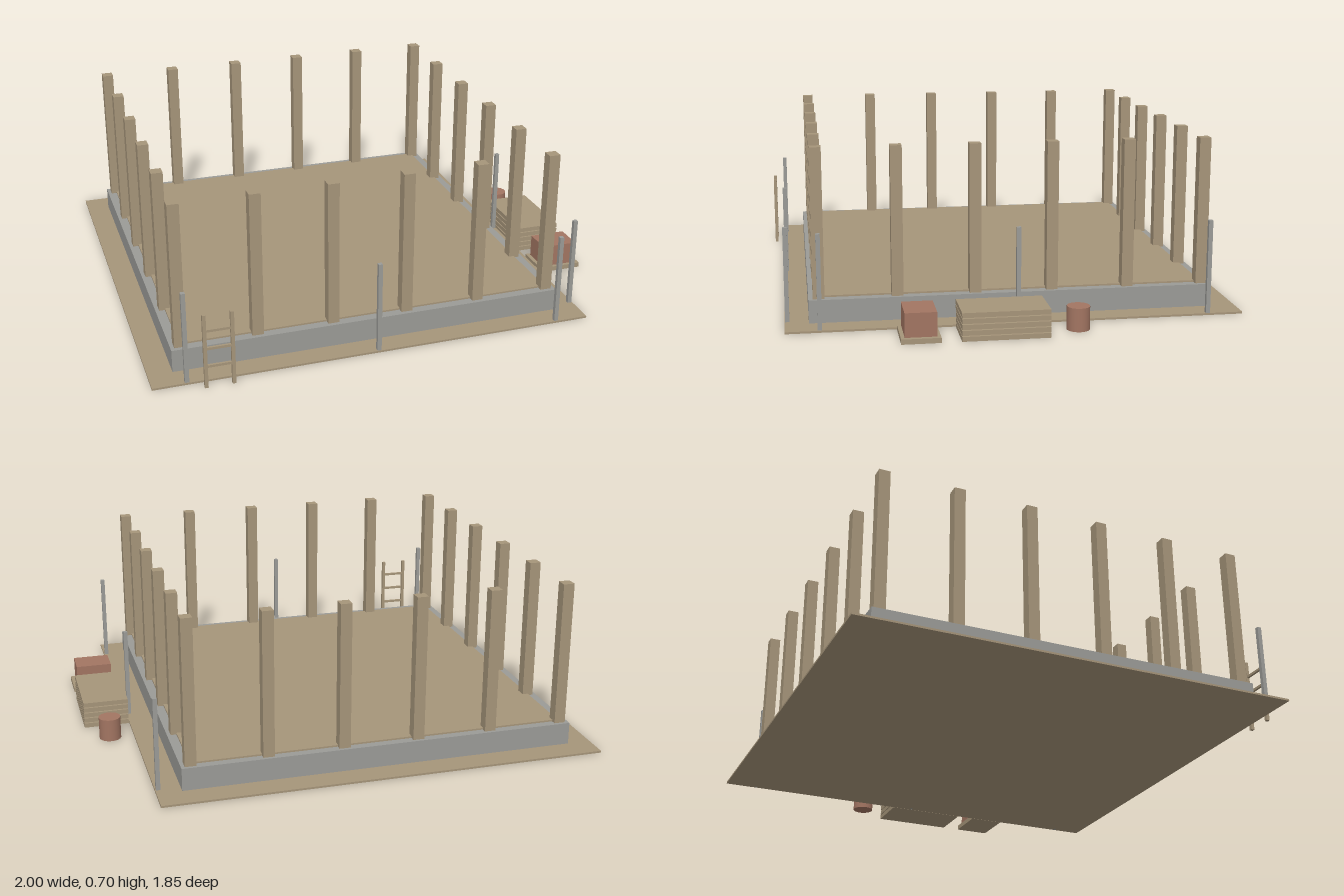
import * as THREE from 'three';

export function createModel() {
  const model = new THREE.Group();
  model.name = 'constructionSite';

  const material = (name, color) => {
    const m = new THREE.MeshStandardMaterial({ color });
    m.name = name;
    return m;
  };
  const timber = material('timber', 0xa6957a);
  const concrete = material('concrete', 0x9b9b97);
  const brick = material('brick', 0xa27562);

  const addGroup = (name) => {
    const g = new THREE.Group();
    g.name = name;
    model.add(g);
    return g;
  };

  // Box given by its minimum and maximum on each axis
  const box = (parent, name, mat, [x0, x1], [y0, y1], [z0, z1]) => {
    const mesh = new THREE.Mesh(new THREE.BoxGeometry(x1 - x0, y1 - y0, z1 - z0), mat);
    mesh.position.set((x0 + x1) / 2, (y0 + y1) / 2, (z0 + z1) / 2);
    mesh.name = name;
    parent.add(mesh);
  };
  // Upright square post centred on x, z
  const post = (parent, name, mat, x, z, size, y0, y1) =>
    box(parent, name, mat, [x - size / 2, x + size / 2], [y0, y1], [z - size / 2, z + size / 2]);

  // Ground plate, foundation and floor
  box(model, 'ground', timber, [-1, 0.81], [0, 0.008], [-0.93, 0.88]);
  box(model, 'foundation', concrete, [-0.903, 0.711], [0.004, 0.1], [-0.828, 0.786]);
  box(model, 'floor', timber, [-0.865, 0.673], [0.09, 0.107], [-0.794, 0.748]);

  // Posts around the rim: six on each side, sharing corners
  const posts = addGroup('wallPosts');
  const pitch = 0.3076;
  for (let i = 0; i < 6; i++) {
    for (let j = 0; j < 6; j++) {
      if (i % 5 && j % 5) continue;
      post(posts, 'wallPost', timber, -0.865 + i * pitch, -0.792 + j * pitch, 0.046, 0.1, 0.697);
    }
  }

  // Scaffold poles along the front and the left side
  const poles = addGroup('scaffoldPoles');
  for (const x of [-0.865, -0.096, 0.673]) post(poles, 'pole', concrete, x, 0.869, 0.017, 0, 0.385);
  for (const z of [-0.789, -0.023, 0.746]) post(poles, 'pole', concrete, 0.798, z, 0.017, 0, 0.385);

  // Ladder
  const ladder = addGroup('ladder');
  for (const x of [-0.8, -0.693]) post(ladder, 'rail', timber, x, 0.917, 0.014, 0, 0.308);
  for (const y of [0.09, 0.165, 0.24]) {
    box(ladder, 'rung', timber, [-0.795, -0.698], [y - 0.005, y + 0.005], [0.912, 0.922]);
  }

  // Stack of boards with narrow gaps
  const boards = addGroup('boardStack');
  for (let i = 0; i < 5; i++) {
    const y = i * 0.023;
    box(boards, 'board', timber, [0.812, 1], [y, y + 0.019], [-0.113, 0.225]);
  }

  // Bricks on a pallet
  const pallet = addGroup('brickPallet');
  box(pallet, 'pallet', timber, [0.812, 1], [0, 0.02], [0.302, 0.453]);
  box(pallet, 'bricks', brick, [0.828, 0.982], [0.02, 0.115], [0.316, 0.438]);

  // Barrel
  const barrel = new THREE.Mesh(new THREE.CylinderGeometry(0.045, 0.045, 0.093, 24), brick);
  barrel.name = 'barrel';
  barrel.position.set(0.907, 0.0465, -0.237);
  model.add(barrel);

  return model;
}
